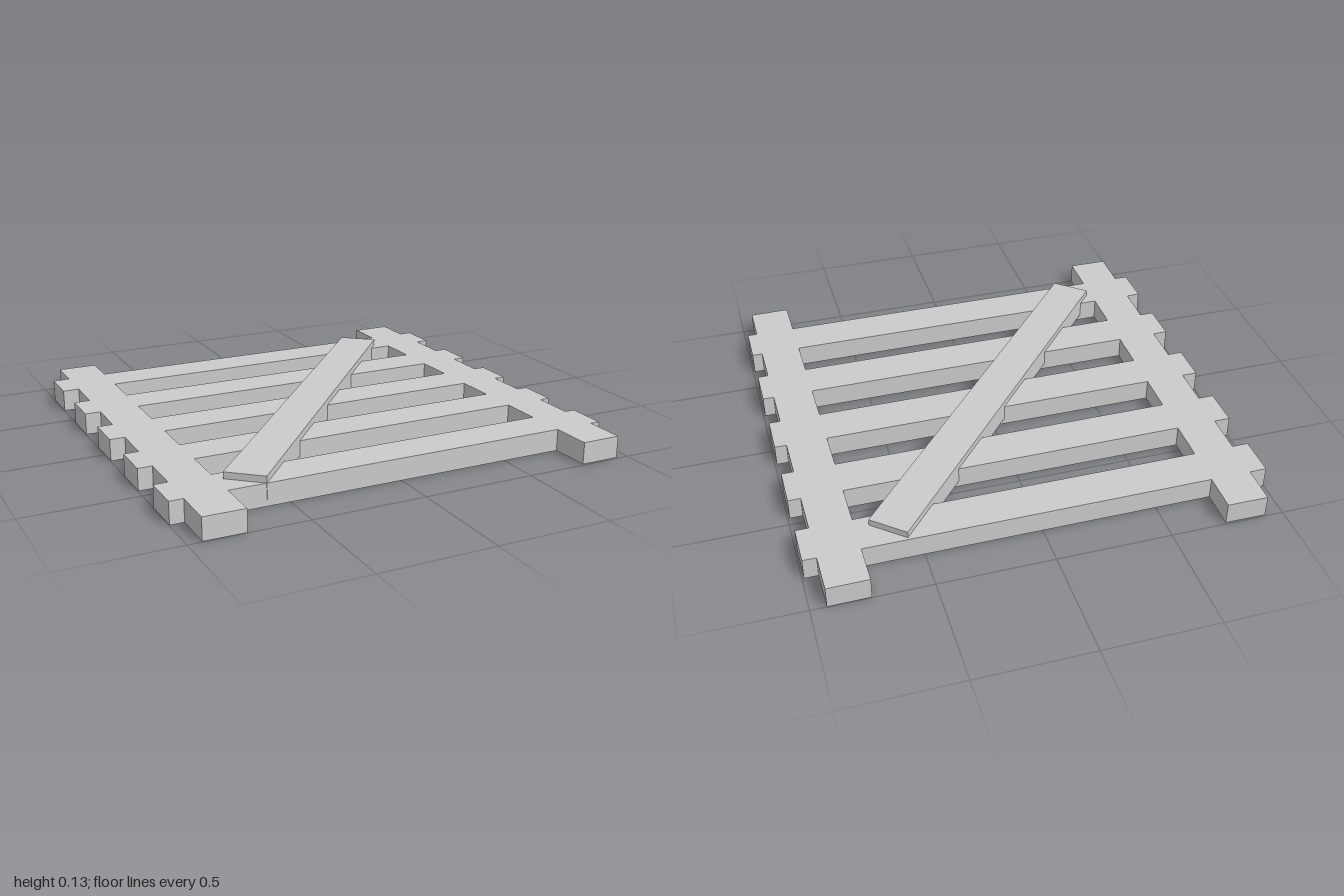
import * as THREE from 'three';

const LENGTH = 1.99, WIDTH = 0.178, THICK = 0.097;

export function createModel() {
  const group = new THREE.Group();
  const material = new THREE.MeshStandardMaterial({ color: 0xcccccc, flatShading: true });
  const plank = new THREE.BoxGeometry(WIDTH, THICK, LENGTH);

  // One plank lying flat; turn is its angle about the vertical, 0 runs along z
  function addPlank(name, x, z, turn, bottom = 0) {
    const mesh = new THREE.Mesh(plank, material);
    mesh.name = name;
    mesh.position.set(x, bottom + THICK / 2, z);
    mesh.rotation.y = turn;
    group.add(mesh);
  }

  // Five parallel cross slats
  for (let i = 0; i < 5; i++) {
    addPlank(`slat${i + 1}`, -0.003, -0.735 + i * 0.364, Math.PI / 2);
  }

  // Two side boards, set very slightly askew
  addPlank('leftSideBoard', 0.852, -0.004, 0.009);
  addPlank('rightSideBoard', -0.842, 0.002, -0.009);

  // Diagonal brace, sunk partly into the slats
  addPlank('diagonalBrace', -0.0175, -0.001, -0.711, 0.029);

  return group;
}
